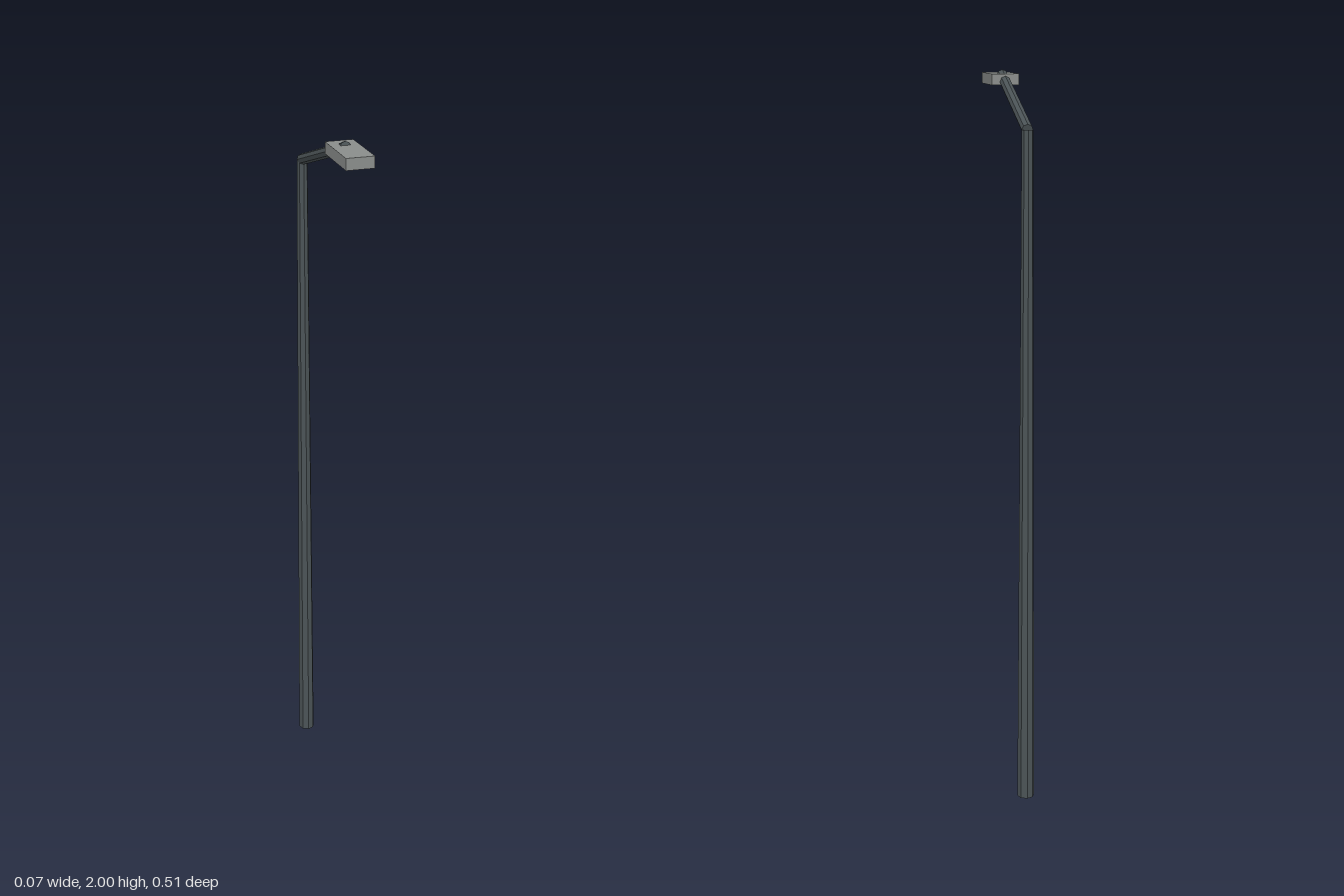
import * as THREE from 'three';

const SIDES = 8;

// Octagonal tapered bar between two points, with a corner line on its +z/upper side.
function bar(name, from, to, r0, r1, material) {
  const dir = to.clone().sub(from);
  const mesh = new THREE.Mesh(new THREE.CylinderGeometry(r1, r0, dir.length(), SIDES), material);
  mesh.name = name;
  mesh.position.copy(from).add(to).multiplyScalar(0.5);
  mesh.rotation.x = Math.atan2(dir.z, dir.y);
  return mesh;
}

export function createModel() {
  const model = new THREE.Group();
  model.name = 'streetLight';

  const poleMaterial = new THREE.MeshStandardMaterial({ color: 0x4b5356, flatShading: true });
  const lampMaterial = new THREE.MeshStandardMaterial({ color: 0x8a8d8b, flatShading: true });

  const base = new THREE.Vector3(0, 0, -0.23);
  const elbow = new THREE.Vector3(0, 1.861, -0.23);
  const tip = new THREE.Vector3(0, 1.986, 0.14);

  // Tapered upright and the sloping arm that pokes through the lamp top
  model.add(bar('pole', base, elbow, 0.024, 0.015, poleMaterial));
  model.add(bar('arm', elbow, tip, 0.015, 0.015, poleMaterial));

  // Flat rectangular lamp housing
  const lamp = new THREE.Mesh(new THREE.BoxGeometry(0.074, 0.03, 0.165), lampMaterial);
  lamp.name = 'lampHead';
  lamp.position.set(0, 1.975, 0.17);
  model.add(lamp);

  return model;
}
